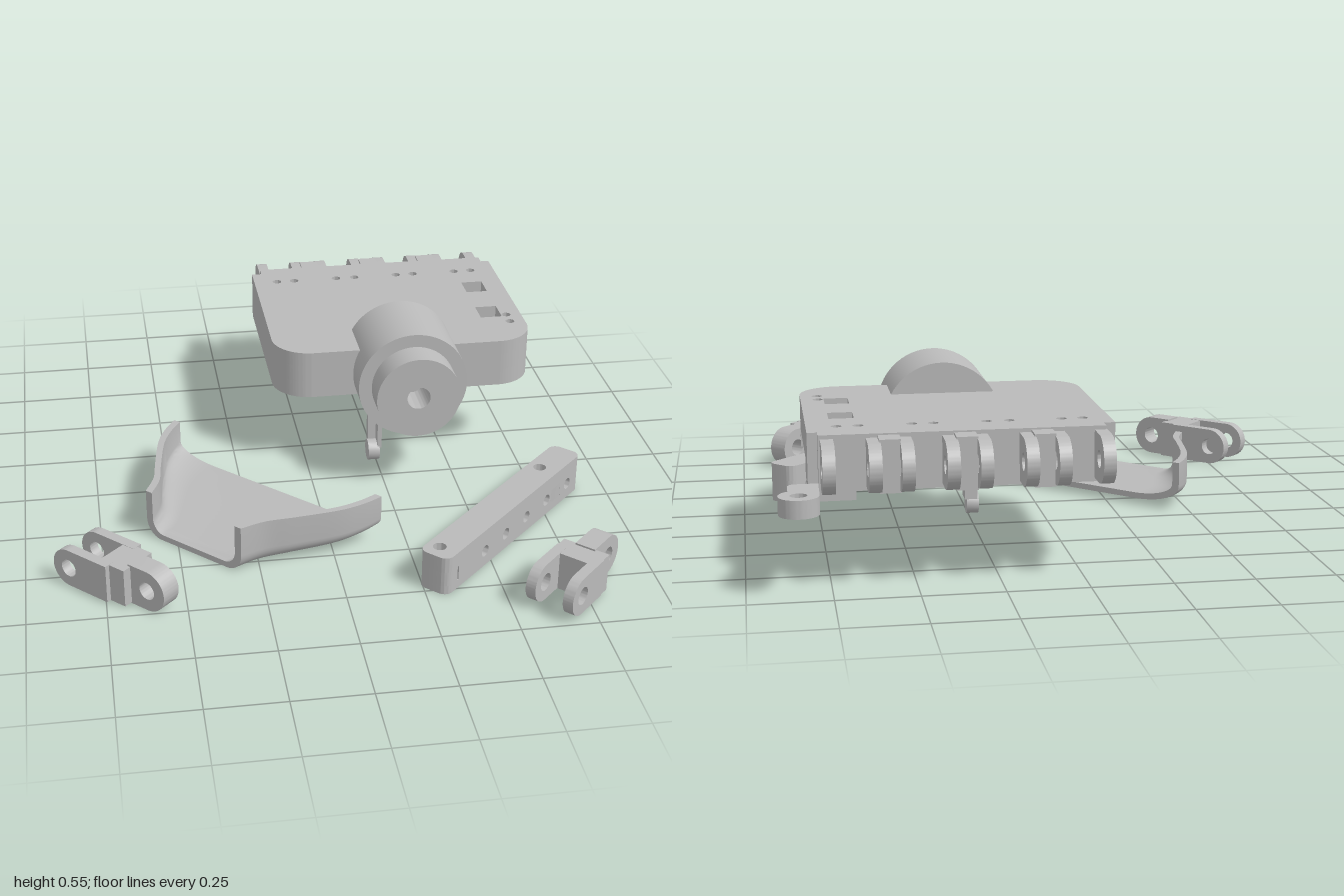
import * as THREE from 'three';
import { toCreasedNormals } from 'three/addons/utils/BufferGeometryUtils.js';

const grey = new THREE.MeshStandardMaterial({ color: 0xbababa, side: THREE.DoubleSide });
grey.name = 'lightGrey';

function add(parent, name, geometry) {
  const mesh = new THREE.Mesh(toCreasedNormals(geometry, 0.6), grey);
  mesh.name = name;
  parent.add(mesh);
  return mesh;
}

function box(parent, name, x0, x1, y0, y1, z0, z1) {
  const g = new THREE.BoxGeometry(x1 - x0, y1 - y0, z1 - z0);
  g.translate((x0 + x1) / 2, (y0 + y1) / 2, (z0 + z1) / 2);
  return add(parent, name, g);
}

const circle = (x, y, r) => new THREE.Path().absarc(x, y, r, 0, Math.PI * 2, true);
const points = list => list.map(p => new THREE.Vector2(...p));
const rectPath = (x0, x1, y0, y1) => new THREE.Path(points([[x0, y0], [x0, y1], [x1, y1], [x1, y0]])).closePath();

// Plan shape (x, -z) raised from y0 to y1
function slab(parent, name, shape, y0, y1, holes = []) {
  shape.holes = holes;
  const g = new THREE.ExtrudeGeometry(shape, { depth: y1 - y0, bevelEnabled: false, curveSegments: 20 });
  g.rotateX(-Math.PI / 2).translate(0, y0, 0);
  return add(parent, name, g);
}

function roundedRect(L, W, r) {
  const s = new THREE.Shape();
  s.absarc(L - r, W - r, r, 0, Math.PI / 2);
  s.absarc(-L + r, W - r, r, Math.PI / 2, Math.PI);
  s.absarc(-L + r, -W + r, r, Math.PI, Math.PI * 1.5);
  s.absarc(L - r, -W + r, r, Math.PI * 1.5, Math.PI * 2);
  return s.closePath();
}

// Hinge lug: round end at +x with a pin hole, running back to x = back, thick along z
function lugGeometry(cx, back, cy, r, hole, z0, z1) {
  const s = new THREE.Shape();
  s.moveTo(back, cy + r);
  s.lineTo(back, cy - r);
  s.lineTo(cx, cy - r);
  s.absarc(cx, cy, r, -Math.PI / 2, Math.PI / 2);
  s.closePath();
  s.holes = [circle(cx, cy, hole)];
  return new THREE.ExtrudeGeometry(s, { depth: z1 - z0, bevelEnabled: false, curveSegments: 20 }).translate(0, 0, z0);
}

function createPalm() {
  const palm = new THREE.Group();
  palm.name = 'palm';
  // Plate outline with rounded front corners; the lower one leaves a side recess
  const outline = recess => {
    const s = new THREE.Shape(), r = 0.13;
    s.moveTo(-0.075, 0.80);
    s.lineTo(-0.11, 0.80);
    s.lineTo(-0.11, 0.09 + r);
    s.absarc(-0.11 + r, 0.09 + r, r, Math.PI, Math.PI * 1.5);
    s.absarc(0.81 - r, 0.09 + r, r, Math.PI * 1.5, Math.PI * 2);
    if (recess) [[0.81, 0.225], [0.64, 0.225], [0.64, 0.635], [0.81, 0.635]].forEach(p => s.lineTo(...p));
    [[0.81, 0.80], [0.78, 0.80], [0.78, 0.84], [-0.075, 0.84]].forEach(p => s.lineTo(...p));
    return s.closePath();
  };
  const screws = () => [-0.025, 0.04, 0.20, 0.27, 0.43, 0.495, 0.655, 0.72].map(x => circle(x, 0.72, 0.016));
  const sideHoles = () => [0.305, 0.248].map(z => circle(0.756, z, 0.016));
  const pockets = [0.565, 0.338];
  slab(palm, 'topPlate', outline(false), 0.40, 0.45,
    [...screws(), ...sideHoles(), ...pockets.map(z => rectPath(0.66, 0.737, z - 0.045, z + 0.045))]);
  slab(palm, 'middlePlate', outline(false), 0.34, 0.40,
    [...screws(), ...sideHoles(), ...pockets.map(z => circle(0.705, z, 0.023))]);
  slab(palm, 'lowerFrame', outline(true), 0.28, 0.34, [
    rectPath(0.06, 0.17, 0.30, 0.67), rectPath(0.22, 0.33, 0.30, 0.67), rectPath(0.38, 0.53, 0.30, 0.67),
    ...screws()]);

  // Mounting bosses below
  for (const x of [-0.025, 0.605]) {
    slab(palm, 'boss', new THREE.Shape().absarc(x, 0.53, 0.045, 0, Math.PI * 2), 0.225, 0.29, [circle(x, 0.53, 0.018)]);
  }

  // Finger hinge lugs and the blocks between them
  for (const x of [-0.058, 0.072, 0.168, 0.302, 0.398, 0.528, 0.622, 0.755]) {
    const g = lugGeometry(0.91, 0.83, 0.365, 0.073, 0.027, -0.019, 0.019);
    g.rotateY(Math.PI / 2).translate(x, 0, 0);
    add(palm, 'fingerLug', g);
  }
  for (const x of [0.12, 0.35, 0.575]) {
    box(palm, 'lugDivider', x - 0.032, x + 0.032, 0.285, 0.445, -0.905, -0.835);
  }

  // Thumb mount
  box(palm, 'thumbArm', 0.67, 0.79, 0.25, 0.285, -0.83, -0.69);
  box(palm, 'thumbStep', 0.67, 0.735, 0.245, 0.285, -0.685, -0.605);
  const thumb = new THREE.Shape();
  thumb.moveTo(0.78, 0.81);
  thumb.lineTo(0.85, 0.81);
  thumb.quadraticCurveTo(0.872, 0.815, 0.872, 0.84);
  thumb.lineTo(0.872, 0.89);
  thumb.absarc(0.842, 0.945, 0.06, -1.05, Math.PI);
  thumb.lineTo(0.78, 0.81);
  slab(palm, 'thumbLug', thumb, 0.245, 0.30, [circle(0.842, 0.945, 0.025)]);

  // Stepped wrist drum with a bore
  const profile = points([[0, -0.26], [0.19, -0.26], [0.19, 0.025], [0.145, 0.025], [0.145, 0.125],
    [0.04, 0.125], [0.04, 0], [0, 0]]);
  add(palm, 'wristDrum', new THREE.LatheGeometry(profile, 64).rotateX(Math.PI / 2)).position.set(0.35, 0.36, 0);

  // Small hanging latch
  box(palm, 'latchStem', 0.222, 0.265, 0.06, 0.24, -0.152, -0.125);
  box(palm, 'latchStrip', 0.25, 0.265, 0.06, 0.24, -0.125, -0.085);
  const knob = add(palm, 'latchKnob', new THREE.CylinderGeometry(0.038, 0.038, 0.04, 20).rotateZ(Math.PI / 2));
  knob.position.set(0.238, 0.042, -0.115);
  return palm;
}

// Finger link: fork at -x, single lug at +x
function createFinger(name, x, z, angle, forkEnd, bodyEnd, bodyHalf) {
  const finger = new THREE.Group();
  finger.name = name;
  box(finger, 'body', -0.01, bodyEnd, 0.005, 0.135, -bodyHalf, bodyHalf);
  add(finger, 'lug', lugGeometry(0.16, bodyEnd - 0.01, 0.071, 0.07, 0.03, -0.035, 0.035));
  for (const side of [-1, 1]) {
    const g = lugGeometry(forkEnd - 0.065, -0.035, 0.071, 0.065, 0.03, -0.0175, 0.0175);
    g.rotateY(Math.PI).translate(0, 0, side * 0.0655);
    add(finger, 'prong', g);
  }
  finger.position.set(x, 0, z);
  finger.rotation.y = angle;
  return finger;
}

// Long bar with two upright holes and a row of cross holes
function createBar() {
  const bar = new THREE.Group();
  bar.name = 'bar';
  const upright = x => circle(x, 0.012, 0.022);
  for (const [name, y0, y1] of [['barBottom', 0, 0.03], ['barTop', 0.08, 0.133]]) {
    slab(bar, name, roundedRect(0.425, 0.055, 0.03), y0, y1, [upright(0.258), upright(-0.371)]);
  }
  // Middle layer: end blocks and a drilled block, with cross-drilled lengths between
  slab(bar, 'barEnd', roundedRect(0.04, 0.055, 0.03), 0.03, 0.08, [upright(0.014)]).position.x = -0.385;
  slab(bar, 'barEnd', roundedRect(0.032, 0.055, 0.03), 0.03, 0.08).position.x = 0.393;
  slab(bar, 'barBlock', roundedRect(0.03, 0.055, 0.001), 0.03, 0.08, [upright(0)]).position.x = 0.258;
  for (const [x0, x1, holes] of [[-0.36, 0.228, [-0.2, -0.07, 0.062, 0.197]], [0.288, 0.385, [0.338]]]) {
    const core = new THREE.Shape(points([[x0, 0.03], [x1, 0.03], [x1, 0.08], [x0, 0.08]]));
    core.holes = holes.map(x => circle(x, 0.055, 0.02));
    add(bar, 'barCore', new THREE.ExtrudeGeometry(core, { depth: 0.11, bevelEnabled: false }).translate(0, 0, -0.055));
  }
  bar.position.set(0.575, 0, 0.45);
  bar.rotation.y = Math.PI / 4;
  return bar;
}

// Open arm guard: a U section swept from the wide end to the narrow end
function createGuard() {
  const widths = new THREE.SplineCurve(points(
    [[0, 0.446], [0.07, 0.427], [0.153, 0.387], [0.274, 0.297], [0.351, 0.236], [0.432, 0.2]]));
  const steps = 24, arc = 10, top = 0.168;
  const halfU = (w, y0, rx, ry) => {
    const pts = [[-w, top]];
    for (let i = 0; i <= arc; i++) {
      const t = (i / arc) * Math.PI / 2;
      pts.push([-w + rx * (1 - Math.cos(t)), y0 + ry * (1 - Math.sin(t))]);
    }
    return pts.concat(pts.map(([x, y]) => [-x, y]).reverse());
  };
  const positions = [], index = [];
  let n = 0;
  for (let i = 0; i <= steps; i++) {
    const k = i / steps, p = widths.getPoint(k);
    const rx = 0.17 - 0.11 * k, y0 = 0.02 * (1 - k) ** 1.5;
    const outer = halfU(p.y, y0, rx, 0.065), inner = halfU(p.y - 0.026, y0 + 0.02, rx - 0.015, 0.05);
    const loop = outer.concat(inner.reverse());
    n = loop.length;
    loop.forEach(([c, y]) => positions.push(p.x, y, c));
  }
  for (let i = 0; i < steps; i++) {
    for (let j = 0; j < n; j++) {
      const a = i * n + j, b = i * n + (j + 1) % n;
      index.push(a, a + n, b, b, a + n, b + n);
    }
  }
  // End rims
  for (const base of [0, steps * n]) {
    for (let j = 0; j < n / 2 - 1; j++) {
      const a = base + j, b = a + 1, c = base + n - 1 - j, d = c - 1;
      if (base) index.push(a, c, b, b, c, d);
      else index.push(a, b, c, b, d, c);
    }
  }
  const g = new THREE.BufferGeometry();
  g.setAttribute('position', new THREE.Float32BufferAttribute(positions, 3));
  g.setIndex(index);
  const guard = new THREE.Group();
  guard.name = 'armGuard';
  add(guard, 'guardShell', g);
  guard.position.set(-0.148, 0, 0.115);
  guard.rotation.y = -Math.PI * 0.75;
  return guard;
}

export function createModel() {
  const model = new THREE.Group();
  model.name = 'handKit';
  model.add(
    createPalm(),
    createGuard(),
    createBar(),
    createFinger('leftFingerLink', 0.709, 0.829, Math.PI / 4, 0.156, 0.075, 0.08),
    createFinger('rightFingerLink', -0.713, 0.59, -Math.PI / 4, 0.19, 0.095, 0.066));
  return model;
}
